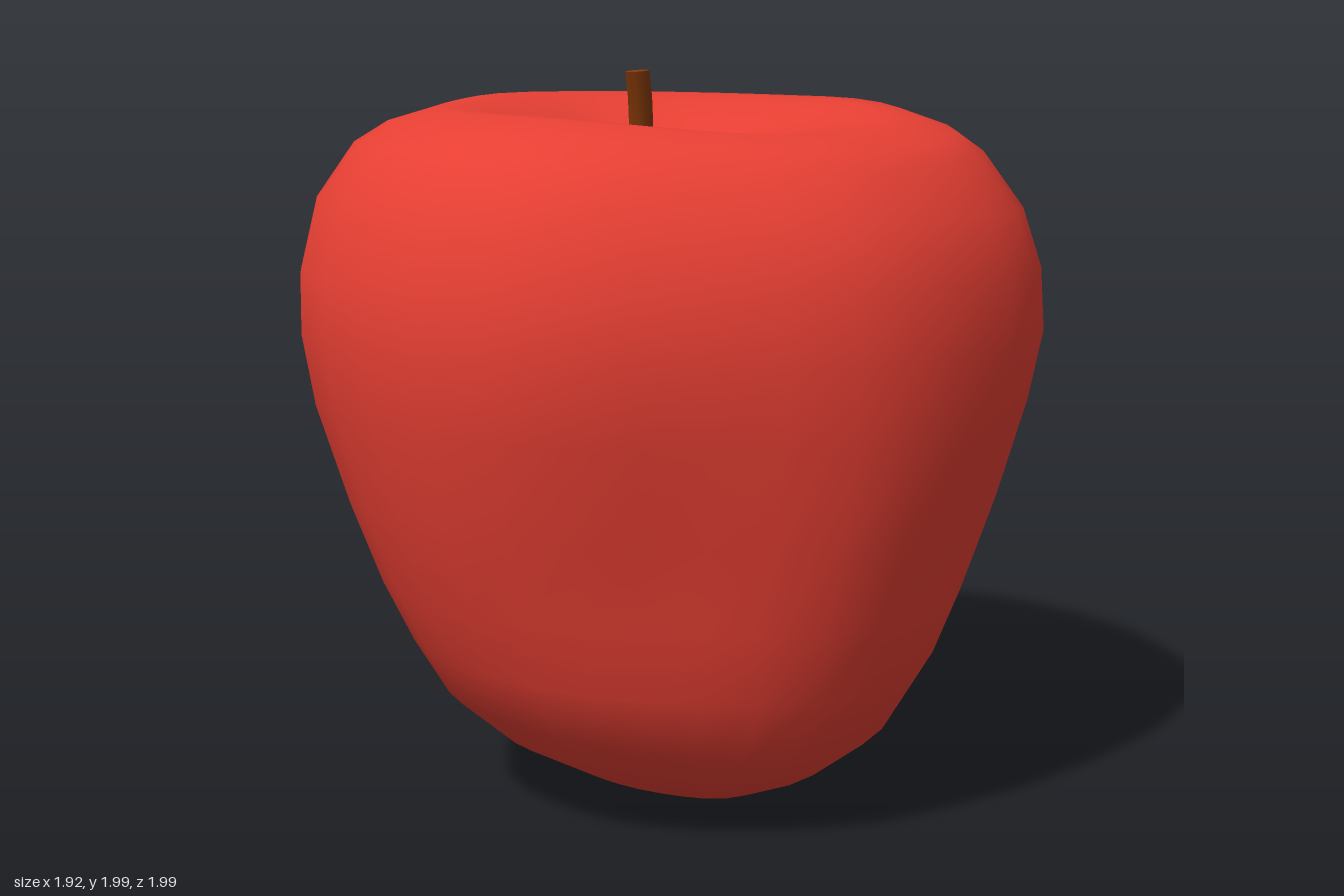
import * as THREE from 'three';

const SEGMENTS = 32;
const { lerp, smoothstep } = THREE.MathUtils;

// Side profiles as [radius, height] from the base up to the rim, one per direction
const PROFILES = [
  // +x
  [[.2, .01], [.33, .035], [.5, .11], [.66, .23], [.77, .42], [.83, .62], [.9, .85],
   [.945, 1.1], [.96, 1.3], [.95, 1.48], [.9, 1.64], [.8, 1.76], [.74, 1.805], [.64, 1.842]],
  // +z
  [[.15, .02], [.3, .08], [.48, .18], [.64, .32], [.73, .47], [.81, .64], [.89, .86],
   [.965, 1.13], [.99, 1.32], [.985, 1.48], [.93, 1.68], [.82, 1.81], [.73, 1.857], [.6, 1.888]],
  // -x
  [[.16, .03], [.3, .06], [.46, .13], [.6, .25], [.71, .46], [.77, .62], [.85, .85],
   [.92, 1.12], [.95, 1.3], [.965, 1.46], [.94, 1.62], [.86, 1.8], [.77, 1.875], [.64, 1.92]],
  // -z
  [[.2, .02], [.4, .08], [.55, .17], [.7, .3], [.8, .45], [.87, .6], [.95, .85],
   [.985, 1.12], [.995, 1.3], [.98, 1.46], [.93, 1.62], [.82, 1.8], [.74, 1.86], [.6, 1.91]],
];
// How far each diagonal bulges or flattens at the base, waist and shoulder
const DIAGONAL_BASE = [.95, .93, 1.0, .95];
const DIAGONAL_WAIST = [.9, .95, 1.0, .98];
const DIAGONAL_SHOULDER = [.945, .982, 1.04, 1.045];
// Lean of each bulge towards the start of its quadrant
const SKEW = [-.05, .09, 0, 0];

// Dimple rings as [scale of the rim, share of the depth]
const DIMPLE = [[.88, .0], [.72, .1], [.5, .38], [.27, .78], [.1, .97]];
const DIMPLE_CENTRE = new THREE.Vector3(-.01, 1.76, .04);

// Point on the outer skin, blended between the two nearest profiles
function skinPoint(row, angle) {
  const turn = angle / (Math.PI / 2);
  const q = Math.floor(turn + 1e-6) % 4;
  const f = Math.sin((turn - q) * Math.PI / 2) ** 2;
  const a = PROFILES[q][row], b = PROFILES[(q + 1) % 4][row];
  const y = lerp(a[1], b[1], f);
  const lower = lerp(DIAGONAL_BASE[q], DIAGONAL_WAIST[q], smoothstep(y, .3, .8));
  const diagonal = lerp(lower, DIAGONAL_SHOULDER[q], smoothstep(y, .8, 1.35));
  const lean = SKEW[q] * (1 - 2 * f);
  const bulge = 1 + (diagonal - 1 + lean) * Math.sin(2 * angle) ** 2;
  const r = lerp(a[0], b[0], f) * bulge;
  return new THREE.Vector3(r * Math.cos(angle), y, r * Math.sin(angle));
}

function fruitGeometry() {
  const rows = PROFILES[0].length;
  const rings = rows + DIMPLE.length;
  const points = [];
  for (let i = 0; i < rings; i++) {
    for (let j = 0; j < SEGMENTS; j++) {
      const angle = j / SEGMENTS * Math.PI * 2;
      const p = skinPoint(Math.min(i, rows - 1), angle);
      if (i >= rows) {
        const [scale, depth] = DIMPLE[i - rows];
        const y = lerp(p.y, DIMPLE_CENTRE.y, depth);
        p.lerp(DIMPLE_CENTRE, 1 - scale).setY(y);
      }
      points.push(p);
    }
  }
  const base = points.push(new THREE.Vector3(.08, .003, 0)) - 1;
  const top = points.push(DIMPLE_CENTRE) - 1;

  const index = [];
  for (let j = 0; j < SEGMENTS; j++) {
    const k = (j + 1) % SEGMENTS;
    index.push(base, j, k);
    for (let i = 0; i < rings - 1; i++) {
      const a = i * SEGMENTS + j, b = i * SEGMENTS + k;
      index.push(a, a + SEGMENTS, b, b, a + SEGMENTS, b + SEGMENTS);
    }
    const last = (rings - 1) * SEGMENTS;
    index.push(last + j, top, last + k);
  }
  const geometry = new THREE.BufferGeometry().setFromPoints(points);
  geometry.setIndex(index);
  geometry.computeVertexNormals();
  return geometry;
}

// Short leaning stalk with a slight bend and a closed tip
function stemGeometry() {
  const geometry = new THREE.CylinderGeometry(.032, .033, .28, 10, 4);
  const position = geometry.attributes.position;
  for (let i = 0; i < position.count; i++) {
    const t = position.getY(i) / .28 + .5;
    position.setXYZ(i,
      position.getX(i) - .045 + .063 * t,
      1.715 + .277 * t + position.getZ(i) * -.1 * t,
      position.getZ(i) + .073 + .052 * t * t);
  }
  geometry.computeVertexNormals();
  return geometry;
}

export function createModel() {
  const skinRed = new THREE.MeshStandardMaterial({ color: 0xea4034 });
  skinRed.name = 'skinRed';
  const stemBrown = new THREE.MeshStandardMaterial({ color: 0x853a08 });
  stemBrown.name = 'stemBrown';

  const fruit = new THREE.Mesh(fruitGeometry(), skinRed);
  fruit.name = 'fruit';
  const stem = new THREE.Mesh(stemGeometry(), stemBrown);
  stem.name = 'stem';

  const model = new THREE.Group();
  model.name = 'apple';
  model.add(fruit, stem);
  return model;
}
